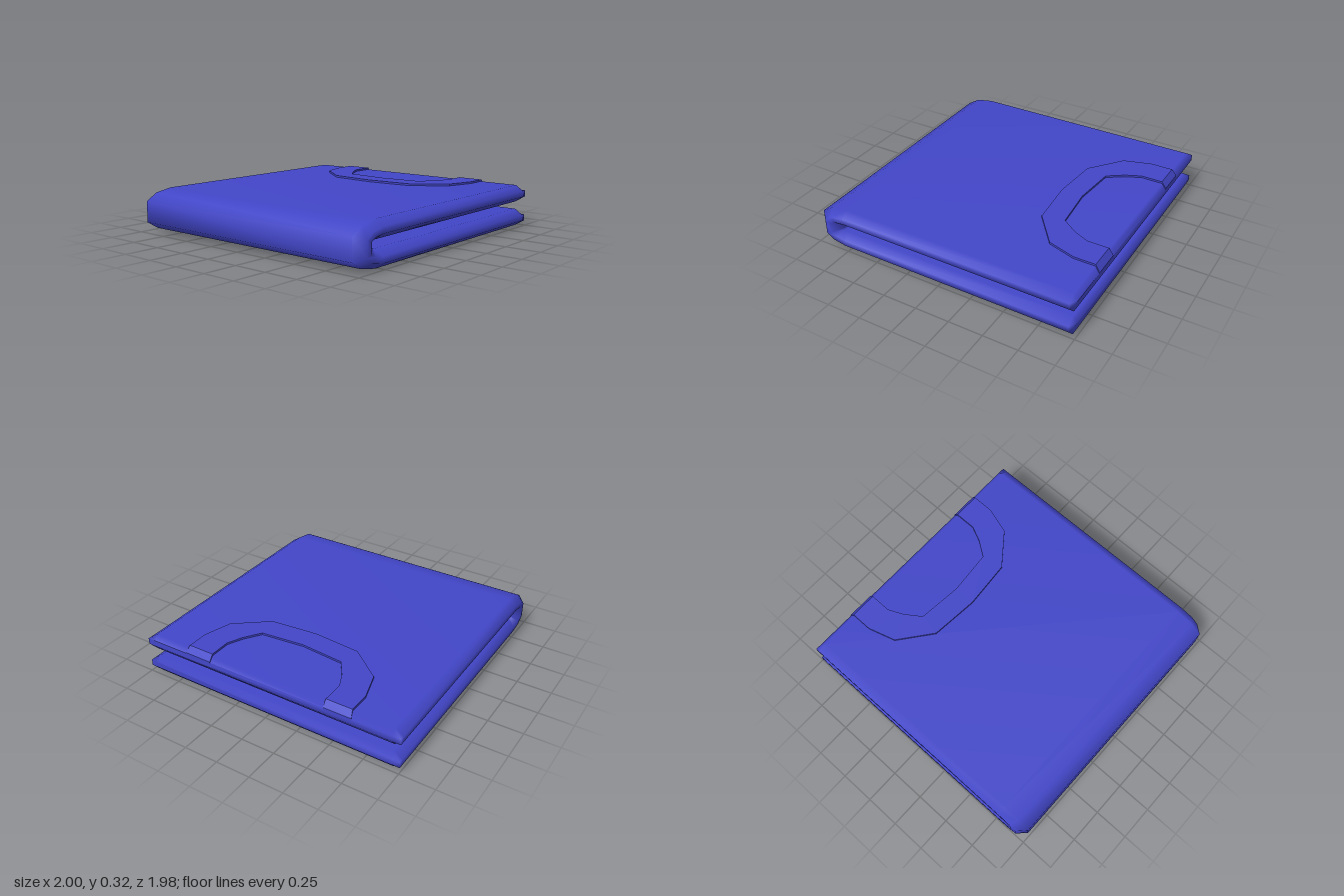
import * as THREE from 'three';

// Skin a list of closed cross-section loops, with capped ends
function loft(sections) {
  const n = sections[0].length, last = (sections.length - 1) * n, index = [];
  for (let s = 0; s < sections.length - 1; s++) {
    for (let j = 0; j < n; j++) {
      const a = s * n + j, a1 = s * n + (j + 1) % n;
      index.push(a, a + n, a1 + n, a, a1 + n, a1);
    }
  }
  for (let j = 1; j < n - 1; j++) {
    index.push(0, j, j + 1, last, last + j + 1, last + j);
  }
  const geometry = new THREE.BufferGeometry();
  geometry.setAttribute('position', new THREE.Float32BufferAttribute(sections.flat(2), 3));
  geometry.setIndex(index);
  return geometry;
}

export function createModel() {
  const group = new THREE.Group();
  const blue = new THREE.MeshStandardMaterial({ color: 0x4246c8 });
  blue.name = 'blue';

  // Upper half of the fold, back to front, as [z, y] pairs:
  // outer skin, inner skin, outer side rim, inner side rim
  const half = [
    [[-0.987, 0.265], [-0.987, 0.22], [-0.987, 0.265], [-0.987, 0.22]],
    [[-0.955, 0.303], [-0.955, 0.179], [-0.955, 0.263], [-0.955, 0.22]],
    [[0.77, 0.303], [0.79, 0.179], [0.77, 0.263], [0.77, 0.22]],
    [[0.9, 0.281], [0.81, 0.17], [0.87, 0.245], [0.84, 0.21]],
    [[0.987, 0.228], [0.812, 0.162], [0.925, 0.205], [0.88, 0.19]],
  ];
  const flip = ([z, y]) => [z, 0.303 - y];
  const stations = [...half, ...half.slice().reverse().map((s) => s.map(flip))];
  const body = stations.map(([out, inn, rimOut, rimIn]) => {
    const at = (x, [z, y]) => [x, y, z];
    return [
      at(-0.94, out), at(0.94, out), at(1, rimOut), at(1, rimIn),
      at(0.94, inn), at(-0.94, inn), at(-1, rimIn), at(-1, rimOut),
    ];
  });
  const bodyGeometry = loft(body);
  bodyGeometry.computeVertexNormals();
  const bodyMesh = new THREE.Mesh(bodyGeometry, blue);
  bodyMesh.name = 'foldedBody';
  group.add(bodyMesh);

  // Raised U-shaped border: outer x, outer z, inner x, inner z, top height
  const leg = [
    [0.655, -0.989, 0.45, -0.989, 0.272],
    [0.645, -0.955, 0.45, -0.955, 0.317],
    [0.645, -0.8, 0.45, -0.8, 0.317],
    [0.585, -0.6, 0.4, -0.69, 0.317],
    [0.35, -0.415, 0.32, -0.575, 0.317],
  ];
  const mirrored = leg.slice().reverse().map(([ox, oz, ix, iz, y]) => [-ox, oz, -ix, iz, y]);
  const path = [...leg, [0, -0.385, 0, -0.545, 0.317], ...mirrored];
  const border = path.map(([ox, oz, ix, iz, y]) => [
    [ix, y, iz], [ox, y, oz], [ox, y - 0.025, oz], [ix, y - 0.025, iz],
  ]);
  const borderGeometry = loft(border).toNonIndexed();
  borderGeometry.computeVertexNormals();
  const borderMesh = new THREE.Mesh(borderGeometry, blue);
  borderMesh.name = 'raisedBorder';
  group.add(borderMesh);

  return group;
}
